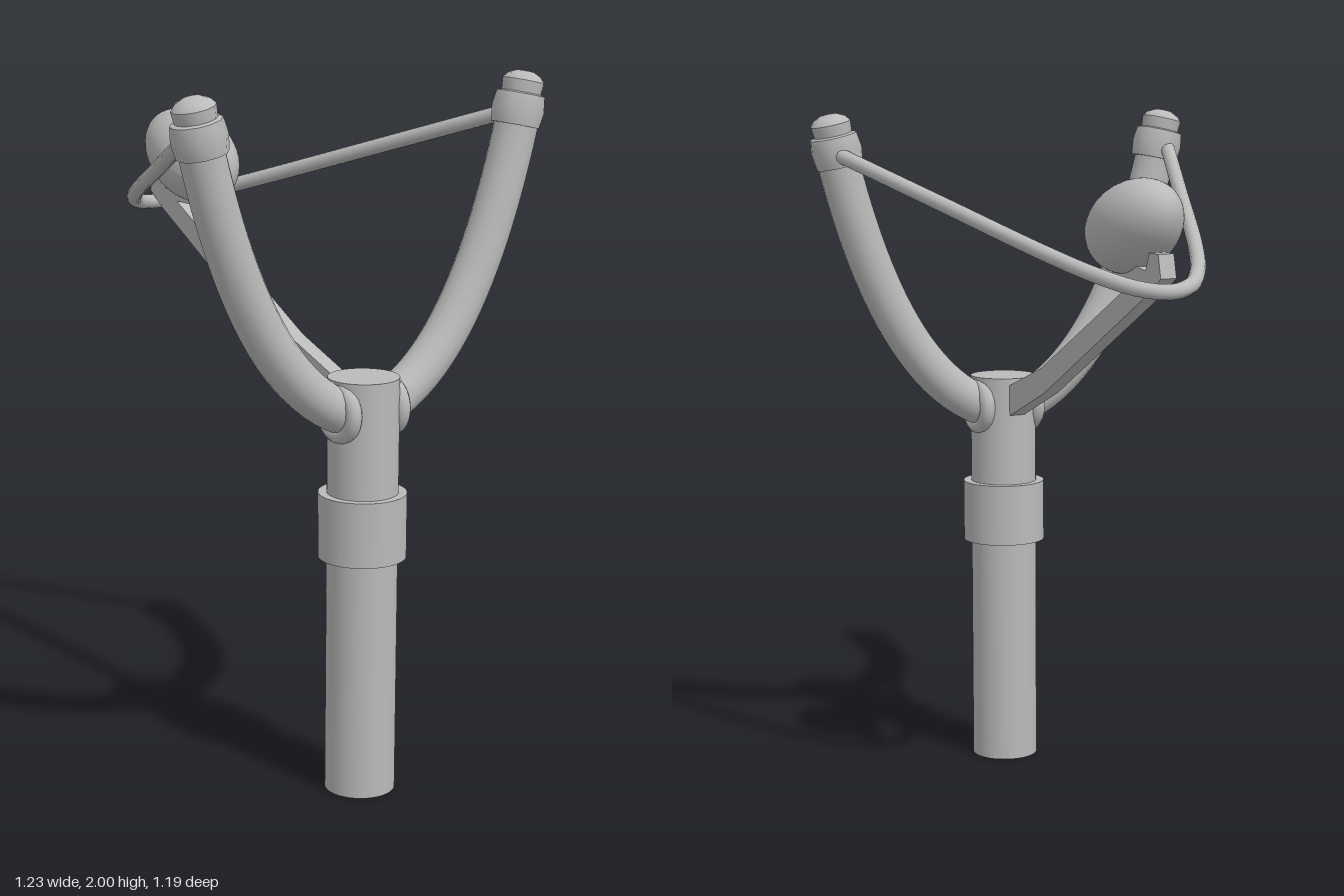
import * as THREE from 'three';
import { toCreasedNormals } from 'three/addons/utils/BufferGeometryUtils.js';

const GREY = new THREE.MeshStandardMaterial({ color: 0xbababa });
GREY.name = 'light grey';
const HANDLE_Z = 0.47;
const V = (x, y, z) => new THREE.Vector3(x, y, z);

function part(parent, name, geometry, x = 0, y = 0, z = 0) {
  const mesh = new THREE.Mesh(geometry, GREY);
  mesh.name = name;
  mesh.position.set(x, y, z);
  parent.add(mesh);
  return mesh;
}

// Closed turned profile with sharp rims
function turned(points, sides) {
  const profile = points.map(([r, y]) => new THREE.Vector2(r, y));
  return toCreasedNormals(new THREE.LatheGeometry(profile, sides), 0.6);
}

export function createModel() {
  const model = new THREE.Group();
  model.name = 'slingshot';

  // Handle and collar
  part(model, 'handle', new THREE.CylinderGeometry(0.1, 0.1, 1.2, 40), 0, 0.6, HANDLE_Z);
  part(model, 'collar', new THREE.CylinderGeometry(0.124, 0.124, 0.185, 40), 0, 0.78, HANDLE_Z);

  // Fork: curved arm, root ring and tip cap on each side
  for (const s of [1, -1]) {
    const side = s > 0 ? 'left' : 'right';
    const curve = new THREE.QuadraticBezierCurve3(
      V(s * 0.06, 1.105, 0), V(s * 0.37, 1.22, 0), V(s * 0.535, 1.88, 0));
    part(model, side + 'Arm', new THREE.TubeGeometry(curve, 24, 0.062, 16), 0, 0, HANDLE_Z);

    const ring = part(model, side + 'RootRing',
      new THREE.TorusGeometry(0.065, 0.024, 12, 32), s * 0.084, 1.11, HANDLE_Z);
    ring.rotation.y = Math.PI / 2;

    const cap = part(model, side + 'TipCap', turned([
      [0, 0], [0.07, 0], [0.076, 0.045], [0.07, 0.088], [0.057, 0.092],
      [0.06, 0.125], [0.048, 0.14], [0.025, 0.151], [0, 0.153]], 12),
      s * 0.525, 1.85, HANDLE_Z);
    cap.rotation.z = -s * 0.22;
  }

  // Elastic band, sloping down to the rear loop
  const bandPlan = [[0.55, 0.43], [0.39, 0.06], [0.23, -0.31], [0.155, -0.45], [0.08, -0.54]];
  const bandPoint = (x, z) => V(x, 1.88 - 0.337 * (0.41 - z), z);
  const band = new THREE.CatmullRomCurve3([
    ...bandPlan.map(([x, z]) => bandPoint(-x, z)),
    bandPoint(0, -0.57),
    ...bandPlan.slice().reverse().map(([x, z]) => bandPoint(x, z))]);
  part(model, 'elasticBand', new THREE.TubeGeometry(band, 80, 0.022, 12));

  // Rear strut with cradle and hook, drawn in side profile (z, y)
  const profile = new THREE.Shape([
    [0.4, 1.075], [0.14, 1.185], [-0.5, 1.54], [-0.565, 1.585], [-0.55, 1.65], [-0.5, 1.65],
    [-0.48, 1.6], [-0.29, 1.63], [-0.29, 1.57], [-0.42, 1.57], [0.155, 1.26], [0.4, 1.17],
  ].map(([z, y]) => new THREE.Vector2(z, y)));
  const strut = new THREE.ExtrudeGeometry(profile, { depth: 0.048, bevelEnabled: false });
  strut.translate(0, 0, -0.024).rotateY(-Math.PI / 2);
  part(model, 'strut', strut);

  // Egg, long axis tilted up toward the rear, slightly narrower there
  const egg = new THREE.SphereGeometry(1, 40, 28);
  egg.rotateX(-Math.PI / 2);
  const p = egg.attributes.position;
  for (let i = 0; i < p.count; i++) {
    const z = p.getZ(i);
    const w = 0.122 * (1 + 0.07 * z);
    p.setXYZ(i, p.getX(i) * w, p.getY(i) * w, z * 0.184);
  }
  egg.computeVertexNormals();
  part(model, 'egg', egg, 0, 1.715, -0.378).rotation.x = 0.42;

  return model;
}
